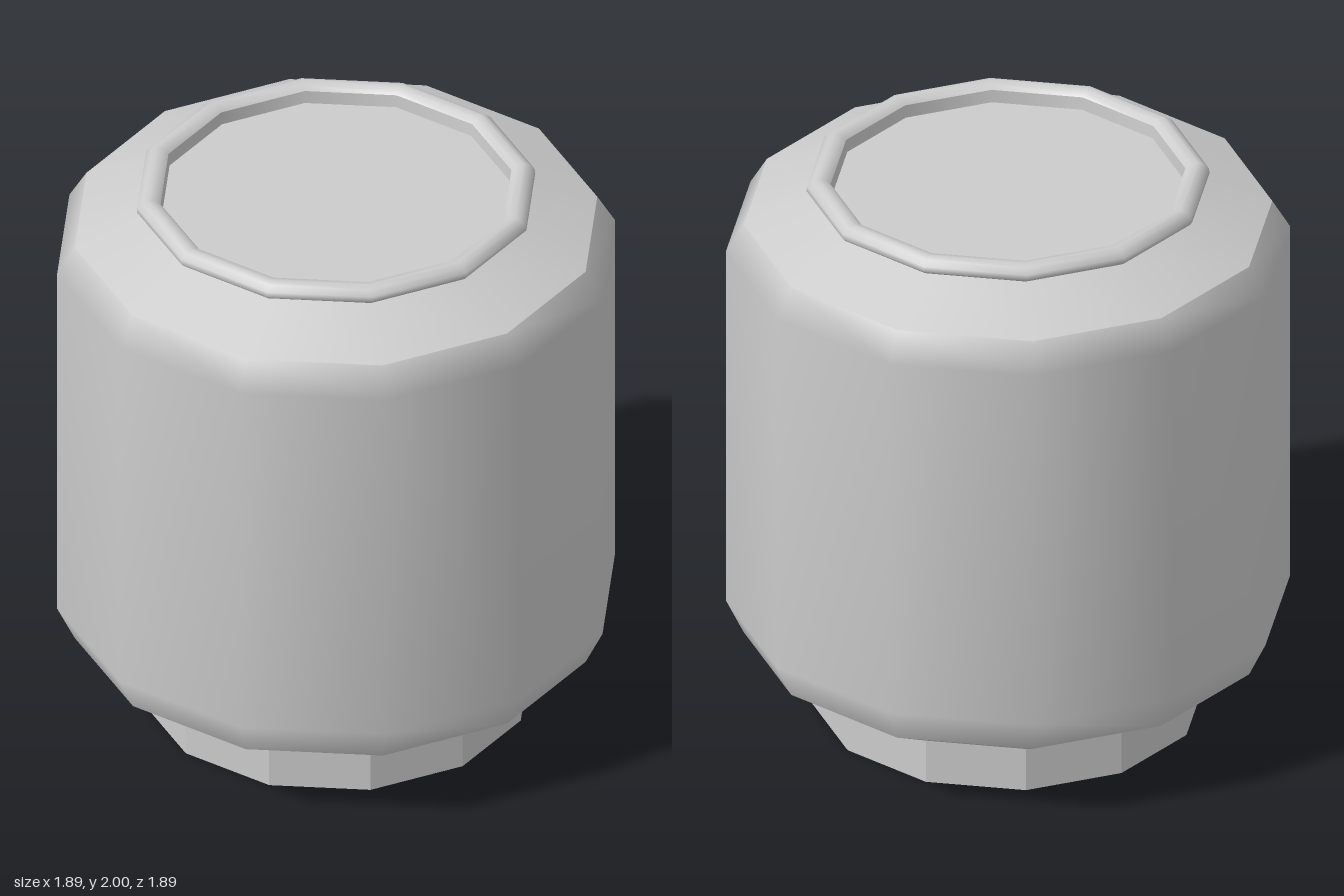
import * as THREE from 'three';

const SIDES = 12;

export function createModel() {
  const group = new THREE.Group();
  group.name = 'jar';

  // Revolve a [radius, height] profile; outer walls run upward
  function revolve(name, profile, options = {}) {
    const points = profile.map(([r, y]) => new THREE.Vector2(r, y));
    const material = new THREE.MeshStandardMaterial({ color: 0xcccccc, ...options });
    const mesh = new THREE.Mesh(new THREE.LatheGeometry(points, SIDES), material);
    mesh.name = name;
    group.add(mesh);
  }

  // Open foot ring with the recessed base inside it
  revolve('footRing', [[0.655, 0], [0.655, 0.16]], { flatShading: true, side: THREE.DoubleSide });
  revolve('basePanel', [[0, 0.3], [0.61, 0.3]]);
  revolve('baseRecessWall', [[0.61, 0.3], [0.61, 0.16]], { flatShading: true });
  revolve('baseLedge', [[0.61, 0.16], [0.66, 0.16]]);

  // Body with sloped shoulders and softened edges
  revolve('lowerShoulder', [[0.66, 0.16], [0.885, 0.285]]);
  revolve('bodyWall', [[0.885, 0.285], [0.945, 0.41], [0.945, 1.74], [0.885, 1.84]]);
  revolve('upperShoulder', [[0.885, 1.84], [0.645, 1.94]]);

  // Rolled rim around the sunken lid
  revolve('rim', [
    [0.645, 1.935], [0.665, 1.947], [0.675, 1.958], [0.673, 1.975],
    [0.655, 1.992], [0.635, 2], [0.61, 1.995], [0.594, 1.98],
  ]);
  revolve('rimInnerWall', [[0.594, 1.98], [0.59, 1.935]]);
  revolve('lidPanel', [[0.59, 1.935], [0, 1.935]]);

  return group;
}
